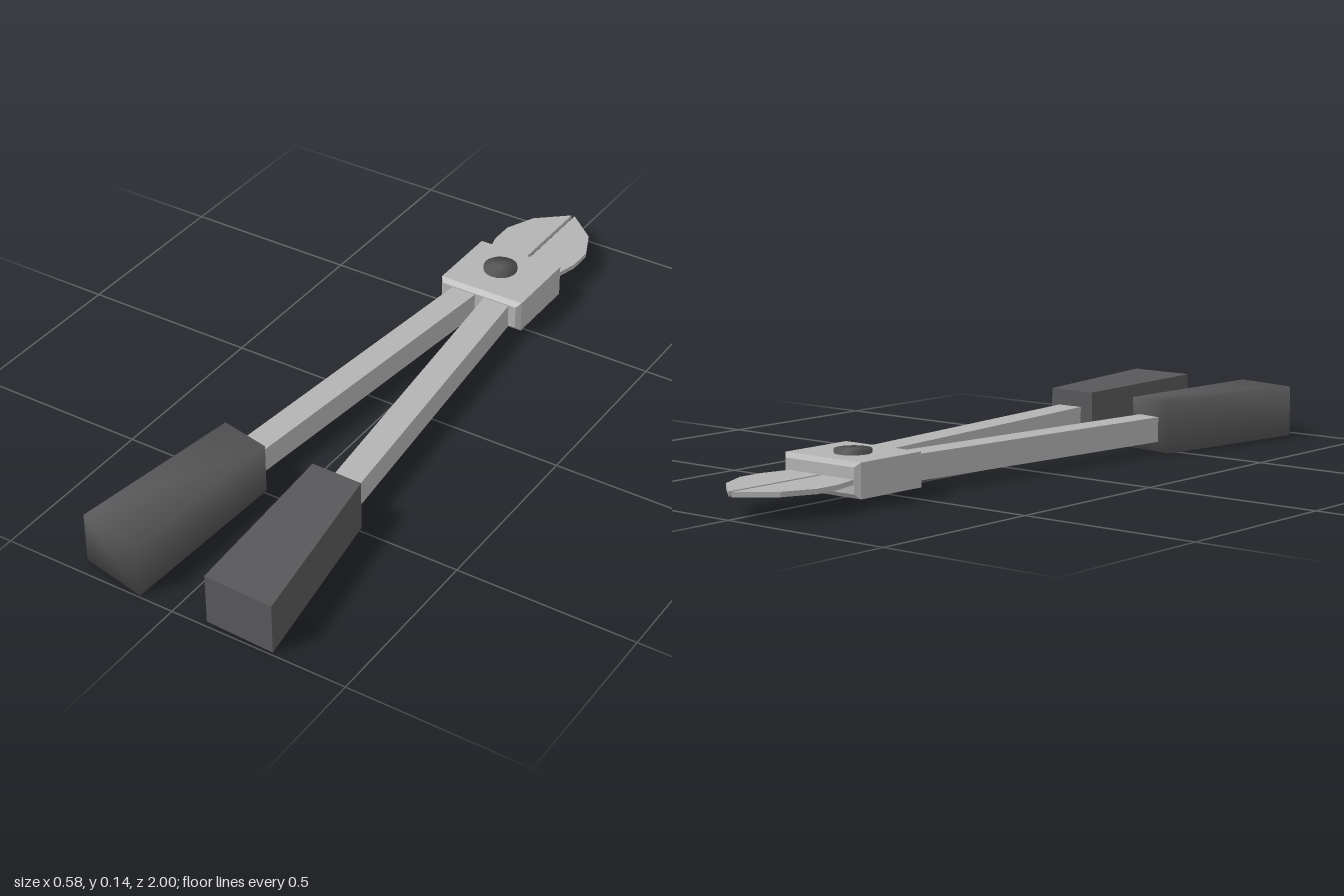
import * as THREE from 'three';
import { mergeVertices } from 'three/addons/utils/BufferGeometryUtils.js';

const steel = new THREE.MeshStandardMaterial({ color: 0xb3b3b3 });
steel.name = 'steel';
const rubber = new THREE.MeshStandardMaterial({ color: 0x58585a });
rubber.name = 'darkRubber';

// Prism between heights y0 and y1 over a plan outline of [x, z] points
function prism(points, y0, y1) {
  const shape = new THREE.Shape(points.map(([x, z]) => new THREE.Vector2(x, -z)));
  const geometry = new THREE.ExtrudeGeometry(shape, { depth: y1 - y0, bevelEnabled: false });
  return geometry.rotateX(-Math.PI / 2).translate(0, y0, 0);
}

// Share corner vertices so the shading runs across the edges
function smooth(geometry) {
  geometry.deleteAttribute('normal');
  geometry.deleteAttribute('uv');
  const merged = mergeVertices(geometry, 1e-4);
  merged.computeVertexNormals();
  return merged;
}

export function createModel() {
  const model = new THREE.Group();
  model.name = 'boltCutter';
  const add = (name, geometry, material) => {
    const mesh = new THREE.Mesh(geometry, material);
    mesh.name = name;
    model.add(mesh);
  };

  // Grips: the two differ slightly in angle and shading
  const rightGrip = [[-0.22, 0.46], [-0.076, 0.49], [-0.10, 0.995], [-0.292, 0.955]];
  const leftGrip = [[0.066, 0.485], [0.212, 0.487], [0.29, 0.992], [0.093, 0.985]];
  add('rightGrip', smooth(prism(rightGrip, 0, 0.142)), rubber);
  add('leftGrip', prism(leftGrip, 0, 0.142), rubber);

  // Handle bars running from inside the head into the grips
  const rightBar = [[-0.085, -0.5], [-0.012, -0.5], [-0.11, 0.52], [-0.184, 0.51]];
  const leftBar = [[0.007, -0.5], [0.086, -0.5], [0.188, 0.52], [0.11, 0.52]];
  add('rightBar', prism(rightBar, 0.028, 0.097), steel);
  add('leftBar', prism(leftBar, 0.028, 0.097), steel);

  // Head block with chamfered front and back ends
  const bevel = 0.012;
  const [x0, x1, y0, y1] = [-0.132, 0.126, 0.021, 0.112];
  const section = new THREE.Shape([[x0, y0], [x1, y0], [x1, y1], [x0, y1]]
    .map(([x, y]) => new THREE.Vector2(x, y)));
  const head = new THREE.ExtrudeGeometry(section, {
    depth: 0.243 - 2 * bevel, bevelSize: bevel, bevelThickness: bevel,
    bevelOffset: -bevel, bevelSegments: 1,
  });
  add('headBlock', head.translate(0, 0, -0.692 + bevel), steel);

  // Pivot bolt through the head
  const bolt = smooth(new THREE.CylinderGeometry(0.048, 0.048, 0.115, 24));
  add('pivotBolt', bolt.translate(-0.012, 0.065, -0.581), rubber);

  // Pair of thin mirrored blades with a narrow gap between them
  const centre = -0.008;
  const blade = [[0.005, -0.67], [0.105, -0.67], [0.11, -0.69], [0.131, -0.77], [0.131, -0.84],
    [0.093, -0.925], [0.005, -1]];
  for (const [name, side] of [['rightBlade', -1], ['leftBlade', 1]]) {
    const outline = blade.map(([x, z]) => [centre + side * x, z]);
    add(name, prism(outline, 0.057, 0.07), steel);
  }
  return model;
}
